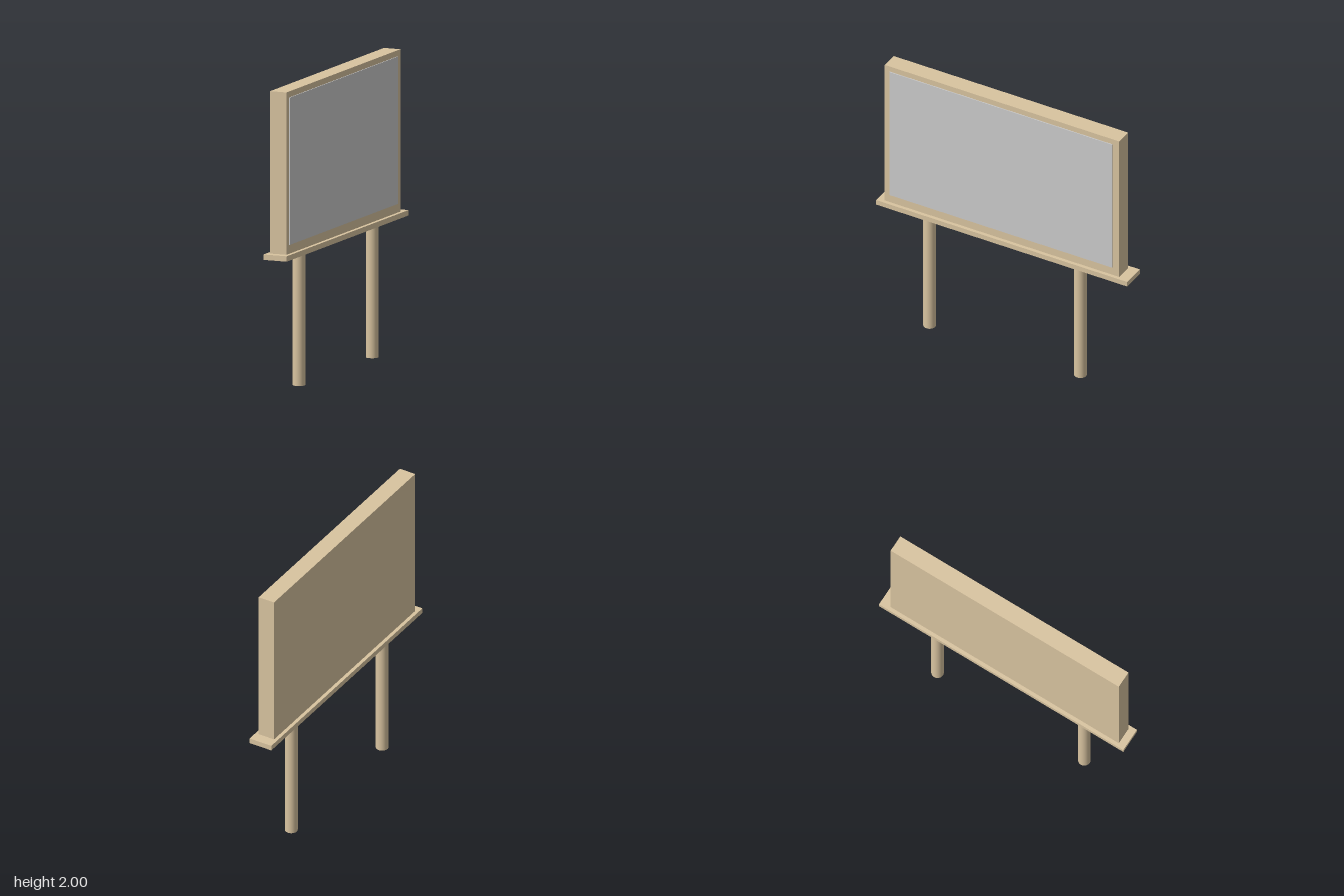
import * as THREE from 'three';

export function createModel() {
  const root = new THREE.Group();
  root.name = 'billboard';
  const wood = new THREE.MeshStandardMaterial({ color: 0xd9c4a0 });
  const grey = new THREE.MeshStandardMaterial({ color: 0xcccccc });

  // The whole sign is turned slightly about the vertical axis
  const sign = new THREE.Group();
  sign.name = 'sign';
  sign.rotation.y = THREE.MathUtils.degToRad(15.7);
  root.add(sign);

  const add = (name, geometry, material, x, y, z) => {
    const mesh = new THREE.Mesh(geometry, material);
    mesh.name = name;
    mesh.position.set(x, y, z);
    sign.add(mesh);
  };

  // Board with a thin display panel standing just proud of its front
  add('board', new THREE.BoxGeometry(1.77, 1.08, 0.118), wood, -0.012, 1.46, 0);
  add('displayPanel', new THREE.BoxGeometry(1.68, 0.98, 0.02), grey, -0.018, 1.47, 0.055);

  // Ledge beneath the board
  add('ledge', new THREE.BoxGeometry(1.895, 0.036, 0.167), wood, 0, 0.902, 0);

  // Two round posts
  for (const [name, x] of [['rightPost', -0.588], ['leftPost', 0.55]]) {
    add(name, new THREE.CylinderGeometry(0.042, 0.042, 0.89, 32), wood, x, 0.445, 0.006);
  }
  return root;
}
